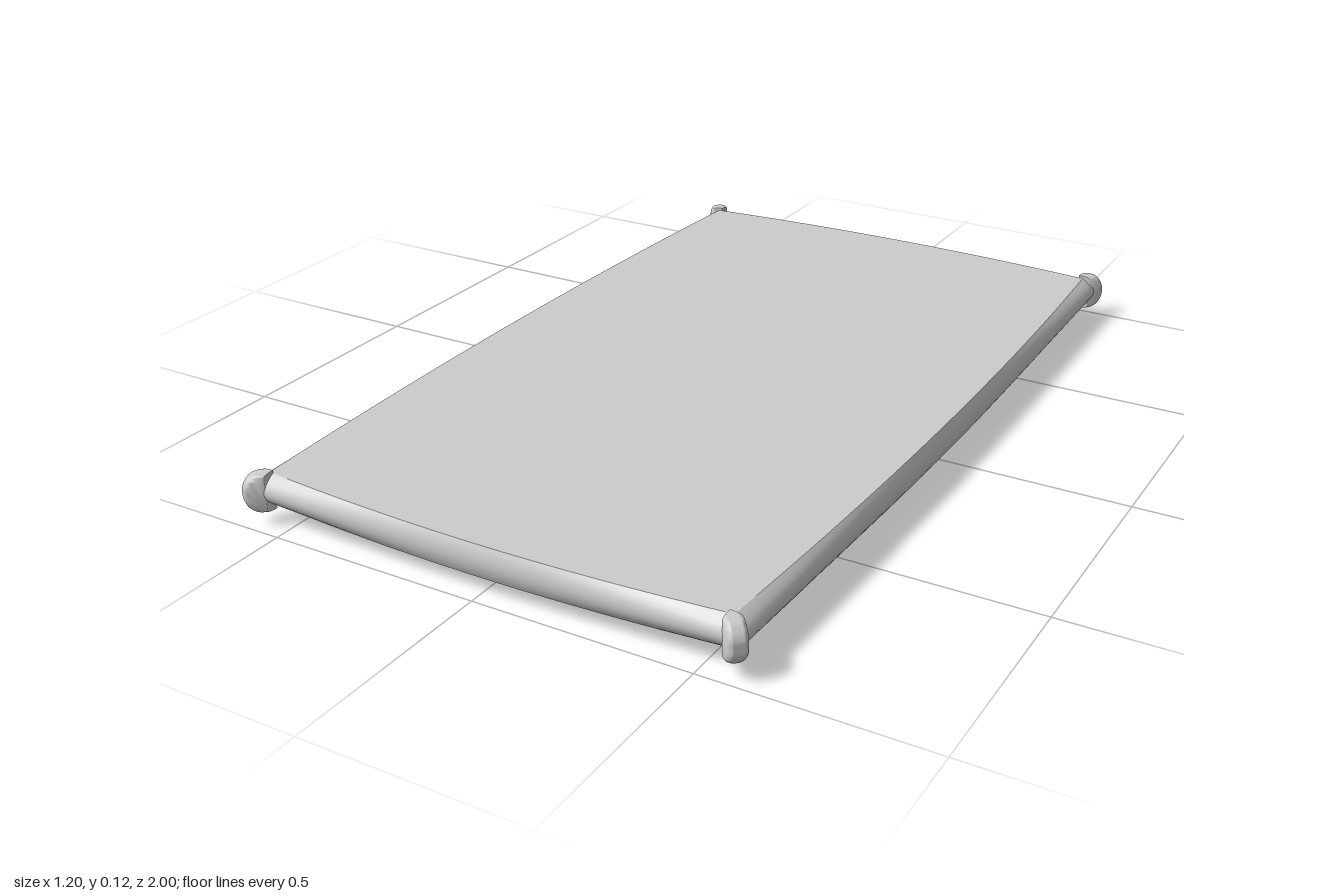
import * as THREE from 'three';
import { toCreasedNormals } from 'three/addons/utils/BufferGeometryUtils.js';

const material = new THREE.MeshStandardMaterial({ color: 0xcccccc });
const HALF_X = 0.585, HALF_Z = 0.975, MID_Y = 0.077, HALF_H = 0.037;
const BOW = 0.008;      // how far each edge bows out at its middle
const ROUND = 0.03;     // how far the rim curls in at the corners
const ROUND_MID = 0.01; // and at the middle of an edge

function addMesh(parent, name, geometry) {
  const mesh = new THREE.Mesh(geometry, material);
  mesh.name = name;
  parent.add(mesh);
  return mesh;
}

// Patch over s, t in [-1, 1], facing s cross t
function patch(nS, nT, rule) {
  const geometry = new THREE.PlaneGeometry(2, 2, nS, nT);
  const p = geometry.attributes.position;
  for (let i = 0; i < p.count; i++) p.setXYZ(i, ...rule(p.getX(i), p.getY(i)));
  geometry.computeVertexNormals();
  return geometry;
}

// Barrel-shaped rim along one edge
function rim(halfLength, distance) {
  return patch(24, 10, (s, t) => [
    s * (halfLength - ROUND * t * t),
    MID_Y + HALF_H * t,
    distance + BOW * (1 - s * s) - t * t * (ROUND_MID + (ROUND - ROUND_MID) * s * s),
  ]);
}

// Flat panel whose outline meets the rims; side is 1 for top, -1 for bottom
function panel(side) {
  const swell = BOW + ROUND - ROUND_MID;
  return patch(24, 24, (s, t) => [
    s * (HALF_X - ROUND + swell * (1 - t * t)),
    MID_Y + side * HALF_H,
    -side * t * (HALF_Z - ROUND + swell * (1 - s * s)),
  ]);
}

// Rounded clip lofted across its width, pointed on the inside, x pointing outward
function cornerClip() {
  const W = 0.02, rows = 12, arc = 16;
  const points = [], index = [], n = arc + 3;
  for (let k = 0; k <= rows; k++) {
    const q = -Math.cos((k / rows) * Math.PI);
    const c = Math.sqrt(Math.max(0, 1 - q * q));
    const inner = Math.abs(q) * W, outer = 0.056 + 0.011 * c, h = 0.039 + 0.006 * c;
    const r = Math.min(0.036, outer - inner);
    points.push(inner, -h, q * W);
    for (let j = 0; j <= arc; j++) {
      const a = (j / arc - 0.5) * Math.PI;
      points.push(outer - r + r * Math.cos(a), h * Math.sin(a), q * W);
    }
    points.push(inner, h, q * W);
  }
  for (let k = 0; k < rows; k++) {
    for (let j = 0; j < n; j++) {
      const a = k * n + j, b = k * n + ((j + 1) % n);
      index.push(a, b, a + n, b, b + n, a + n);
    }
  }
  const last = rows * n;
  for (let j = 1; j < n - 1; j++) {
    index.push(0, j + 1, j, last, last + j, last + j + 1);
  }
  const geometry = new THREE.BufferGeometry();
  geometry.setAttribute('position', new THREE.Float32BufferAttribute(points, 3));
  geometry.setIndex(index);
  return toCreasedNormals(geometry, 0.8);
}

// Round foot with concentric rounded rings
function footGeometry() {
  const profile = [new THREE.Vector2(0, 0.014), new THREE.Vector2(0.084, 0.014)];
  const ring = (r0, r1, y0, y1, low) => {
    for (let i = 0; i <= 12; i++) {
      const t = i / 12;
      const y = THREE.MathUtils.lerp(y0, y1, t);
      const bulge = Math.pow(Math.sin(Math.PI * t), 0.6);
      profile.push(new THREE.Vector2(THREE.MathUtils.lerp(r0, r1, t), y + (low - y) * bulge));
    }
  };
  ring(0.085, 0.13, 0.014, 0.02, 0.006);
  ring(0.131, 0.215, 0.02, 0.02, 0.004);
  ring(0.216, 0.348, 0.02, 0.025, 0);
  profile.push(new THREE.Vector2(0.35, 0.041));
  return toCreasedNormals(new THREE.LatheGeometry(profile, 64), 0.8);
}

export function createModel() {
  const model = new THREE.Group();
  model.name = 'panelOnRoundFoot';

  const slab = new THREE.Group();
  slab.name = 'slab';
  model.add(slab);
  addMesh(slab, 'topPanel', panel(1));
  addMesh(slab, 'bottomPanel', panel(-1));
  ['frontRim', 'leftRim', 'backRim', 'rightRim'].forEach((name, i) => {
    const geometry = i % 2 ? rim(HALF_Z, HALF_X) : rim(HALF_X, HALF_Z);
    addMesh(slab, name, geometry).rotation.y = (i * Math.PI) / 2;
  });

  // One clip on each corner, turned to its diagonal
  const clip = cornerClip();
  for (const sx of [-1, 1]) {
    for (const sz of [-1, 1]) {
      const name = (sz > 0 ? 'front' : 'back') + (sx > 0 ? 'Left' : 'Right') + 'CornerClip';
      const mesh = addMesh(model, name, clip);
      mesh.position.set(sx * 0.545, 0.076, sz * 0.945);
      mesh.rotation.y = Math.atan2(-sz, sx);
    }
  }

  addMesh(model, 'ringedFoot', footGeometry());
  return model;
}
